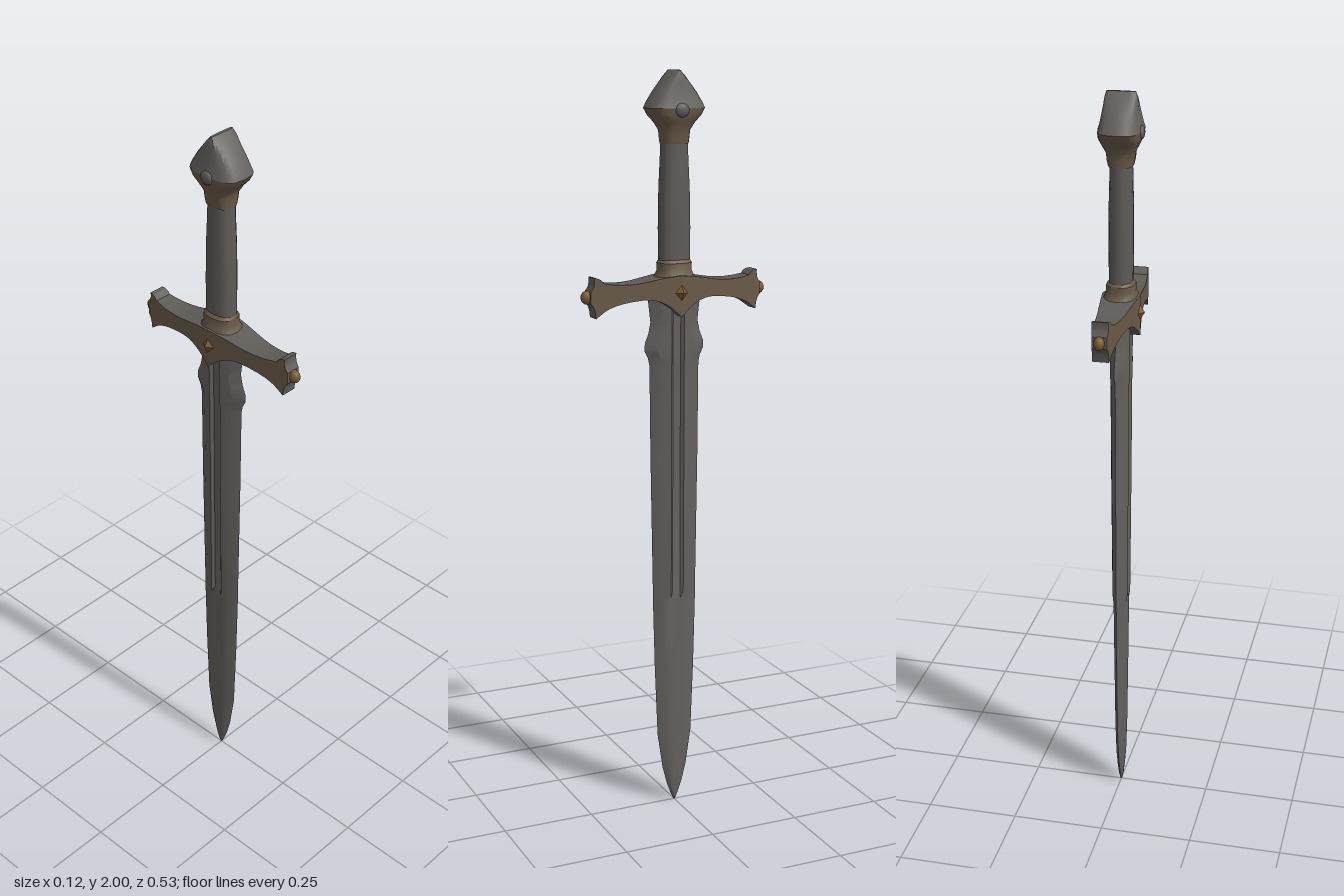
import * as THREE from 'three';
import { toCreasedNormals } from 'three/addons/utils/BufferGeometryUtils.js';

const mat = (name, color) => {
  const m = new THREE.MeshStandardMaterial({ color });
  m.name = name;
  return m;
};

// Skin closed rings of [x, z] points, stacked upwards; rings run from +z towards +x.
function loft(sections, crease) {
  const n = sections[0].ring.length, pos = [], idx = [];
  for (const { y, ring } of sections) for (const [x, z] of ring) pos.push(x, y, z);
  for (let i = 0; i < sections.length - 1; i++) {
    for (let j = 0; j < n; j++) {
      const a = i * n + j, b = i * n + (j + 1) % n;
      idx.push(a, b, b + n, a, b + n, a + n);
    }
  }
  const top = (sections.length - 1) * n;
  for (let j = 1; j < n - 1; j++) idx.push(0, j + 1, j, top, top + j, top + j + 1);
  const g = new THREE.BufferGeometry();
  g.setAttribute('position', new THREE.Float32BufferAttribute(pos, 3));
  g.setIndex(idx);
  return toCreasedNormals(g, crease);
}

// Rounded ring; a power below 1 makes it squarer.
function ovalRing(hx, hz, n, power = 1) {
  const soft = v => Math.sign(v) * Math.pow(Math.abs(v), power);
  return Array.from({ length: n }, (_, i) => {
    const a = (i / n) * Math.PI * 2;
    return [hx * soft(Math.sin(a)), hz * soft(Math.cos(a))];
  });
}

// Bevelled blade section with a shallow central groove.
function bladeRing(w, t, groove) {
  const f = Math.min(0.018, w * 0.3), g = t - groove;
  const half = [[0, w], [t * 0.72, w * 0.62], [t, f], [g, f * 0.6], [g, -f * 0.6], [t, -f], [t * 0.72, -w * 0.62]];
  return [...half, ...half.map(([x, z]) => [-x, -z])];
}

export function createModel() {
  const root = new THREE.Group();
  root.name = 'sword';
  const steel = mat('blade steel', 0x64615e);
  const iron = mat('grip iron', 0x5e5b58);
  const bronze = mat('worn bronze', 0x695a48);
  const gold = mat('dull gold', 0x79592f);
  const add = (name, geo, material, parent = root) => {
    const m = new THREE.Mesh(geo, material);
    m.name = name;
    parent.add(m);
    return m;
  };

  // Blade: height, half width, half thickness, groove depth
  const blade = [
    [0, 0.002, 0.002, 0], [0.02, 0.011, 0.006, 0], [0.05, 0.022, 0.009, 0], [0.1, 0.035, 0.012, 0],
    [0.2, 0.05, 0.014, 0], [0.4, 0.058, 0.016, 0], [0.595, 0.063, 0.018, 0], [0.615, 0.063, 0.021, 0.007],
    [1, 0.069, 0.024, 0.008], [1.24, 0.071, 0.025, 0.008], [1.26, 0.075, 0.026, 0.008],
    [1.28, 0.085, 0.026, 0.008], [1.3, 0.084, 0.026, 0.008], [1.325, 0.074, 0.026, 0.008],
    [1.355, 0.068, 0.027, 0.008], [1.39, 0.072, 0.027, 0.008], [1.44, 0.078, 0.027, 0.008],
  ];
  add('blade', loft(blade.map(([y, w, t, g]) => ({ y, ring: bladeRing(w, t, g) })), 0.35), steel);

  // Guard: one flared arm, turned round for the other side
  const armShape = () => {
    const s = new THREE.Shape();
    s.moveTo(0, 1.372);
    s.lineTo(0.025, 1.395);
    s.quadraticCurveTo(0.06, 1.422, 0.1, 1.42);
    s.quadraticCurveTo(0.175, 1.415, 0.205, 1.395);
    s.lineTo(0.229, 1.377);
    s.quadraticCurveTo(0.23, 1.405, 0.242, 1.416);
    s.lineTo(0.242, 1.447);
    s.quadraticCurveTo(0.23, 1.458, 0.232, 1.482);
    s.quadraticCurveTo(0.215, 1.482, 0.208, 1.468);
    s.quadraticCurveTo(0.15, 1.455, 0.09, 1.467);
    s.lineTo(0.045, 1.475);
    s.lineTo(0, 1.48);
    return s;
  };
  for (const [side, turn] of [['front', 0], ['back', Math.PI]]) {
    const arm = new THREE.Group();
    arm.name = side + 'GuardArm';
    arm.rotation.y = turn;
    root.add(arm);
    let g = new THREE.ExtrudeGeometry(armShape(), { depth: 2, bevelEnabled: false, curveSegments: 5 });
    g.translate(0, 0, -1);
    const p = g.attributes.position;
    for (let i = 0; i < p.count; i++) p.setZ(i, p.getZ(i) * (0.05 - 0.124 * p.getX(i)));
    g.rotateY(-Math.PI / 2);
    add('guardArm', toCreasedNormals(g, 0.6), [bronze, iron], arm);
    const knob = add('guardKnob', new THREE.SphereGeometry(1, 12, 8), gold, arm);
    knob.scale.set(0.014, 0.018, 0.018);
    knob.position.set(0, 1.431, 0.245);
  }

  // Diamond bosses on both faces of the guard
  for (const s of [-1, 1]) {
    const boss = add('guardBoss', new THREE.OctahedronGeometry(1), gold);
    boss.scale.set(0.018, 0.03, 0.022);
    boss.position.set(s * 0.044, 1.435, 0);
  }

  // Collar where the grip meets the guard
  const collar = [[1.46, 0.048, 0.062], [1.478, 0.044, 0.05], [1.49, 0.038, 0.045], [1.51, 0.037, 0.046], [1.518, 0.03, 0.041]];
  add('collar', loft(collar.map(([y, x, z]) => ({ y, ring: ovalRing(x, z, 16, 0.8) })), 0.6), bronze);

  // Grip
  const grip = [[1.5, 0.03, 0.042], [1.6, 0.031, 0.043], [1.7, 0.031, 0.041], [1.78, 0.029, 0.037], [1.84, 0.028, 0.035]];
  add('grip', loft(grip.map(([y, x, z]) => ({ y, ring: ovalRing(x, z, 16, 0.85) })), 0.8), iron);

  // Pommel: bronze neck below, wedge-topped iron head above
  const pommel = rows => loft(rows.map(([y, x, z]) => ({ y, ring: ovalRing(x, z, 16, 0.6) })), 0.6);
  add('pommelNeck', pommel([
    [1.815, 0.03, 0.035], [1.83, 0.034, 0.036], [1.85, 0.036, 0.038], [1.87, 0.046, 0.05], [1.887, 0.053, 0.066], [1.905, 0.054, 0.077],
  ]), bronze);
  add('pommelHead', pommel([
    [1.905, 0.054, 0.077], [1.92, 0.05, 0.07], [1.945, 0.046, 0.054], [1.97, 0.043, 0.034], [1.985, 0.042, 0.02], [2, 0.037, 0.004],
  ]), steel);

  // Small studs on the pommel faces
  for (const s of [-1, 1]) {
    const stud = add('pommelStud', new THREE.SphereGeometry(1, 10, 8), iron);
    stud.scale.set(0.01, 0.018, 0.02);
    stud.position.set(s * 0.05, 1.9, 0);
  }
  return root;
}
